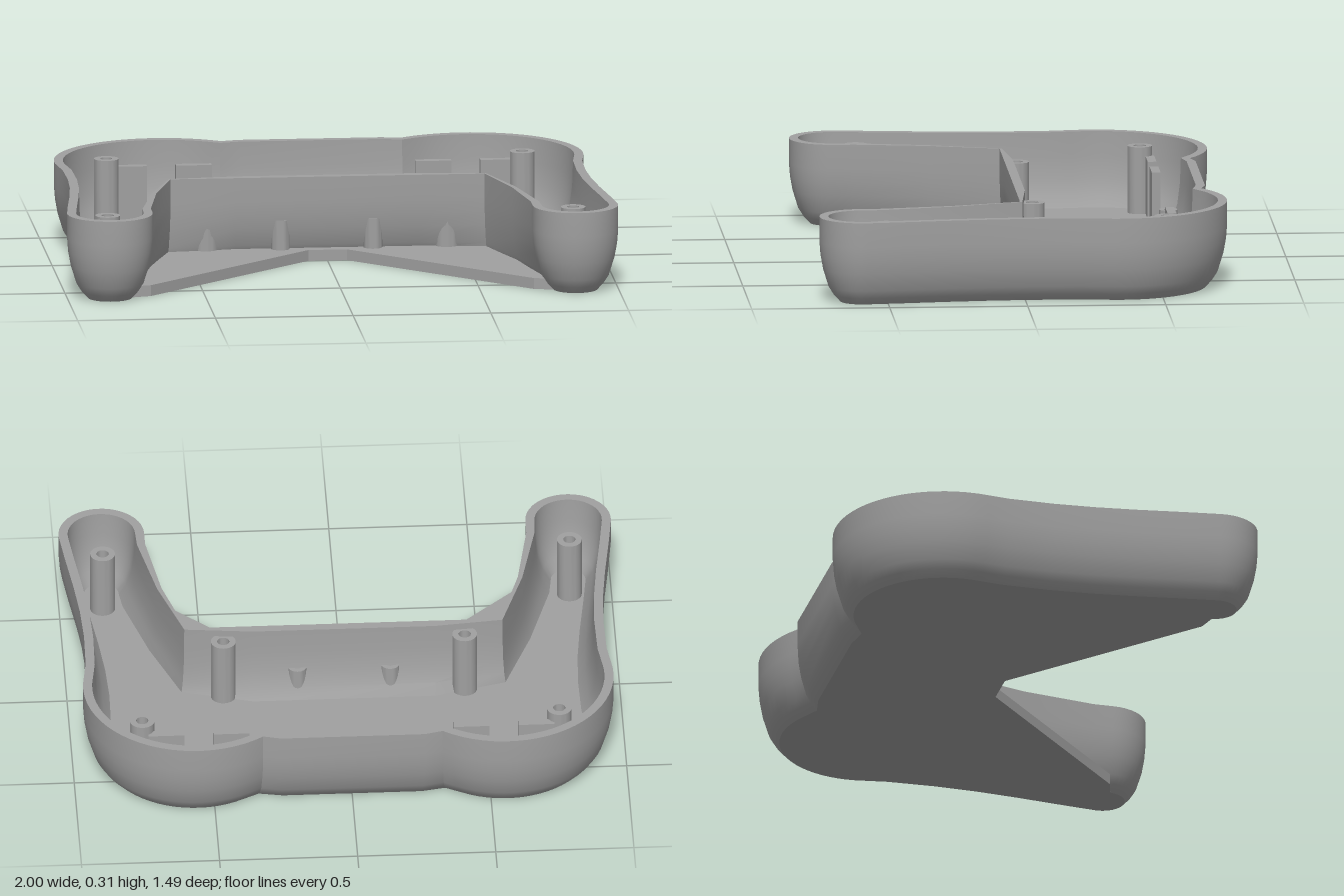
import * as THREE from 'three';
import { toCreasedNormals } from 'three/addons/utils/BufferGeometryUtils.js';

const grey = new THREE.MeshStandardMaterial({ color: 0xa0a0a0 });
grey.name = 'plain grey plastic';
const FLOOR = 0.04;

// Points of a circular arc in the (x, z) plane, angles in degrees
function arc(cx, cz, r, from, to, n) {
  return Array.from({ length: n + 1 }, (_, i) => {
    const a = THREE.MathUtils.degToRad(from + (to - from) * i / n);
    return [cx + r * Math.cos(a), cz + r * Math.sin(a)];
  });
}

// Rim outline [x, z, inset weight], from the back centre round the left side to the front centre
function rimOutline() {
  const half = [
    [0.26, -0.69],
    ...arc(0.56, -0.35, 0.4, -126, 10, 24),
    [0.943, -0.2], [0.94, -0.03], [0.947, 0.12], [0.962, 0.27], [0.985, 0.45],
    ...arc(0.845, 0.59, 0.155, -5, 180, 20),
    [0.69, 0.52, 0.9], [0.645, 0.25, 0.5], [0.57, 0, 0.3], [0.33, 0, 1],
  ];
  return [...half, ...half.slice().reverse().map(([x, z, w]) => [-x, z, w])];
}

// Shell skin: the outline swept through an inset profile, closed by bottom and floor
function shellGeometry() {
  const outline = rimOutline(), n = outline.length;
  const profile = [
    [0.075, 0], [0.052, 0.025], [0.033, 0.055], [0.013, 0.12], [0.004, 0.17], [0, 0.22], [0, 0.31],
    [0.033, 0.31], [0.036, 0.22], [0.046, 0.14], [0.066, 0.08], [0.092, FLOOR],
  ];
  const inward = outline.map((_, i) => {
    const p = outline[(i + n - 1) % n], c = outline[i], q = outline[(i + 1) % n];
    const a = new THREE.Vector2(c[0] - p[0], c[1] - p[1]).normalize();
    const b = new THREE.Vector2(q[0] - c[0], q[1] - c[1]).normalize();
    const t = a.add(b).normalize();
    return [-t.y, t.x];
  });
  const positions = [], index = [];
  for (const [inset, y] of profile) {
    outline.forEach(([x, z, w = 1], i) => {
      positions.push(x + inward[i][0] * inset * w, y, z + inward[i][1] * inset * w);
    });
  }
  for (let r = 0; r < profile.length - 1; r++) {
    for (let i = 0; i < n; i++) {
      const a = r * n + i, b = r * n + (i + 1) % n;
      index.push(a, a + n, b, b, a + n, b + n);
    }
  }
  // Flat caps, turned to face up or down
  function cap(ring, up) {
    const pts = outline.map((_, i) => {
      const k = (ring * n + i) * 3;
      return new THREE.Vector2(positions[k], positions[k + 2]);
    });
    for (const [a, b, c] of THREE.ShapeUtils.triangulateShape(pts, [])) {
      const cross = (pts[b].x - pts[a].x) * (pts[c].y - pts[a].y)
        - (pts[b].y - pts[a].y) * (pts[c].x - pts[a].x);
      const o = ring * n;
      if ((cross < 0) === up) index.push(o + a, o + b, o + c);
      else index.push(o + a, o + c, o + b);
    }
  }
  cap(0, false);
  cap(profile.length - 1, true);
  const g = new THREE.BufferGeometry();
  g.setAttribute('position', new THREE.Float32BufferAttribute(positions, 3));
  g.setIndex(index);
  return toCreasedNormals(g, 0.5);
}

// Flat webs that fill the corners between the grips, leaving a V notch
function webGeometry() {
  const half = [[0.07, 0], [0.695, 0.58], [0.77, 0.6], [0.77, 0.3], [0.7, 0], [0.7, -0.12]];
  const pts = [...half, ...half.slice().reverse().map(([x, z]) => [-x, z])];
  const shape = new THREE.Shape(pts.map(([x, z]) => new THREE.Vector2(x, -z)));
  return new THREE.ExtrudeGeometry(shape, { depth: FLOOR, bevelEnabled: false }).rotateX(-Math.PI / 2);
}

// Round post with a blind screw hole
function postGeometry(r, hole, top) {
  const profile = [[r, 0.01], [r, top], [hole, top], [hole, top - 0.08], [0, top - 0.08]]
    .map(([x, y]) => new THREE.Vector2(x, y));
  return toCreasedNormals(new THREE.LatheGeometry(profile, 28), 0.6);
}

export function createModel() {
  const model = new THREE.Group();
  model.name = 'controllerShell';

  function add(name, geometry, x = 0, y = 0, z = 0) {
    const mesh = new THREE.Mesh(geometry, grey);
    mesh.name = name;
    mesh.position.set(x, y, z);
    model.add(mesh);
  }

  add('shell', shellGeometry());
  add('gripWebs', webGeometry());

  const screwPost = postGeometry(0.045, 0.022, 0.285);
  const shortPeg = postGeometry(0.034, 0.015, 0.15);
  const rib = new THREE.BoxGeometry(0.13, 0.22, 0.032);

  for (const [side, s] of [['left', 1], ['right', -1]]) {
    // Screw posts
    add(side + 'BackScrewPost', screwPost, s * 0.755, 0, -0.52);
    add(side + 'FrontScrewPost', screwPost, s * 0.437, 0, -0.053);
    add(side + 'GripScrewPost', screwPost, s * 0.845, 0, 0.503);
    // Short pegs
    add(side + 'BackPeg', shortPeg, s * 0.168, 0, -0.585);
    add(side + 'FrontPeg', shortPeg, s * 0.168, 0, -0.035);
    // Upright ribs near the back wall
    add(side + 'InnerRib', rib, s * 0.435, 0.14, -0.555);
    add(side + 'OuterRib', rib, s * 0.67, 0.14, -0.555);
  }
  return model;
}
